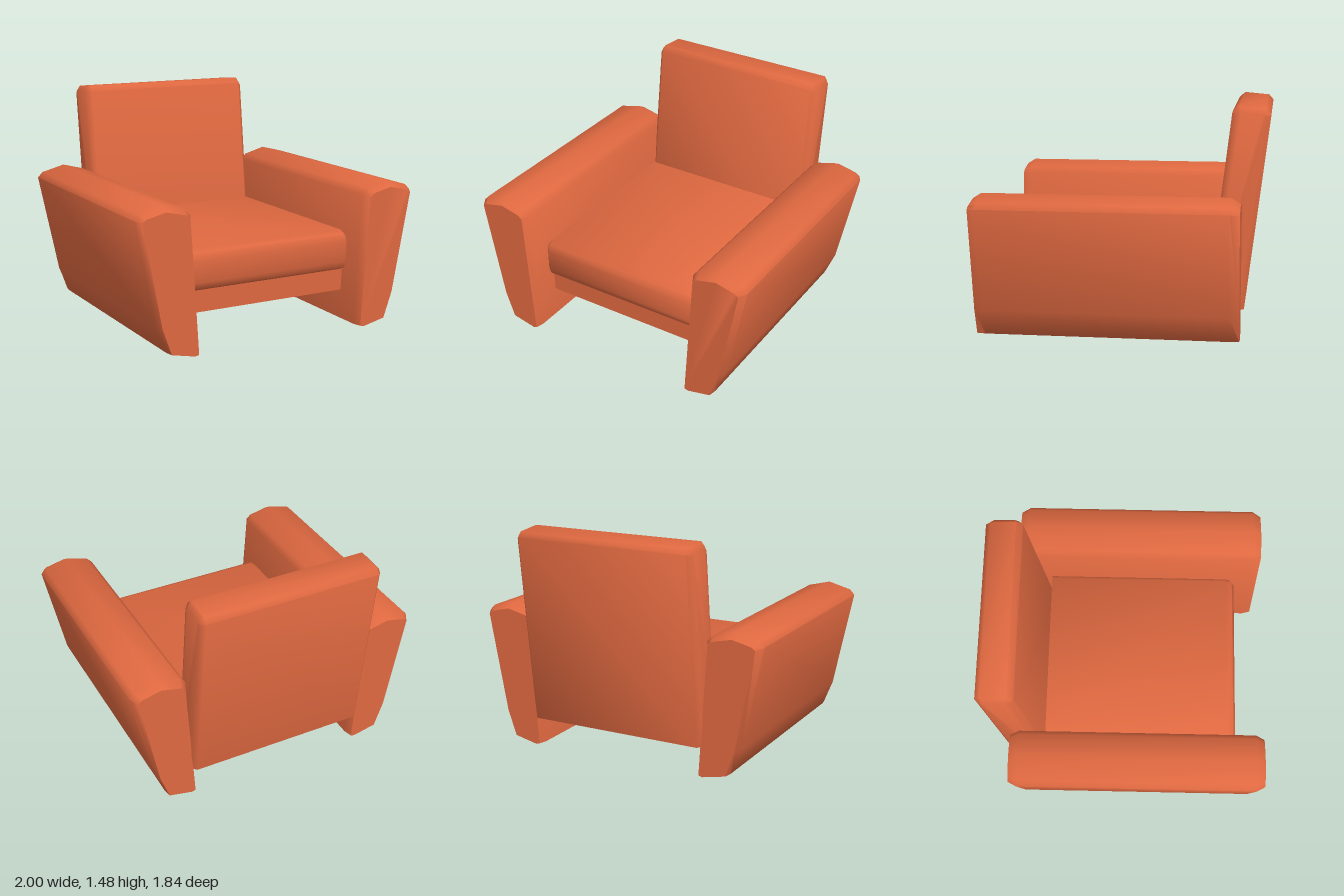
import * as THREE from 'three';
import { toCreasedNormals } from 'three/addons/utils/BufferGeometryUtils.js';

// Skin a list of cross-sections, each a ring of [x, y, z] points
function loft(sections, closed = true) {
  const n = sections[0].length;
  const index = [];
  for (let i = 0; i < sections.length - 1; i++) {
    for (let j = 0; j < (closed ? n : n - 1); j++) {
      const k = (j + 1) % n;
      const a = i * n + j, b = i * n + k, c = b + n, d = a + n;
      index.push(a, d, b, b, d, c);
    }
  }
  if (closed) {
    const last = (sections.length - 1) * n;
    for (let j = 1; j < n - 1; j++) {
      index.push(0, j, j + 1);
      index.push(last, last + j + 1, last + j);
    }
  }
  const geometry = new THREE.BufferGeometry();
  geometry.setAttribute('position', new THREE.Float32BufferAttribute(sections.flat(2), 3));
  geometry.setIndex(index);
  return toCreasedNormals(geometry, 1.0);
}

// Bevelled body running across x, from [z, y] outlines
function loftAcross(full, inset, half, bevel, closed) {
  const at = (outline, x) => outline.map(([z, y]) => [x, y, z]);
  return loft([at(inset, half), at(full, half - bevel), at(full, bevel - half), at(inset, -half)], closed);
}

// Armrest outlines in [x, y], at full size and drawn in at the bevelled ends
const ARM = [[0.58, 0.012], [0.62, 0.003], [0.79, 0.04], [0.86, 0.21], [0.998, 0.875],
  [0.965, 0.91], [0.81, 0.95], [0.66, 0.91], [0.623, 0.87]];
const ARM_END = [[0.595, 0.012], [0.62, 0.005], [0.78, 0.04], [0.84, 0.21], [0.965, 0.865],
  [0.94, 0.885], [0.81, 0.915], [0.68, 0.885], [0.65, 0.86]];

function armGeometry(side) {
  const at = (outline, z) => {
    const ring = outline.map(([x, y]) => [x * side, y, z]);
    return side > 0 ? ring : ring.reverse();
  };
  return loft([at(ARM_END, 0.915), at(ARM, 0.86), at(ARM, -0.69), at(ARM_END, -0.75)]);
}

export function createModel() {
  const group = new THREE.Group();
  const upholstery = new THREE.MeshStandardMaterial({ color: 0xde6840, side: THREE.DoubleSide });
  upholstery.name = 'orange upholstery';

  const add = (name, geometry) => {
    const mesh = new THREE.Mesh(geometry, upholstery);
    mesh.name = name;
    group.add(mesh);
    return mesh;
  };

  // Armrests, wider at the top
  add('leftArmrest', armGeometry(1));
  add('rightArmrest', armGeometry(-1));

  // Backrest, leaning back
  add('backrest', loftAcross(
    [[-0.53, 0.2], [-0.77, 0.2], [-0.92, 1.435], [-0.89, 1.47], [-0.72, 1.485], [-0.68, 1.45]],
    [[-0.56, 0.2], [-0.735, 0.2], [-0.885, 1.42], [-0.87, 1.44], [-0.735, 1.45], [-0.71, 1.43]],
    0.62, 0.03, true));

  // Seat cushion, an open shell rolled over at the front
  add('seatCushion', loftAcross(
    [[-0.54, 0.612], [0.69, 0.612], [0.735, 0.59], [0.752, 0.54], [0.752, 0.41], [0.735, 0.365], [0.69, 0.345]],
    [[-0.54, 0.58], [0.68, 0.58], [0.71, 0.57], [0.72, 0.53], [0.72, 0.42], [0.71, 0.385], [0.68, 0.375]],
    0.61, 0.03, false));

  // Thin rail below the cushion
  add('frontRail', new THREE.PlaneGeometry(1.2, 0.15)).position.set(0, 0.277, 0.69);

  return group;
}
